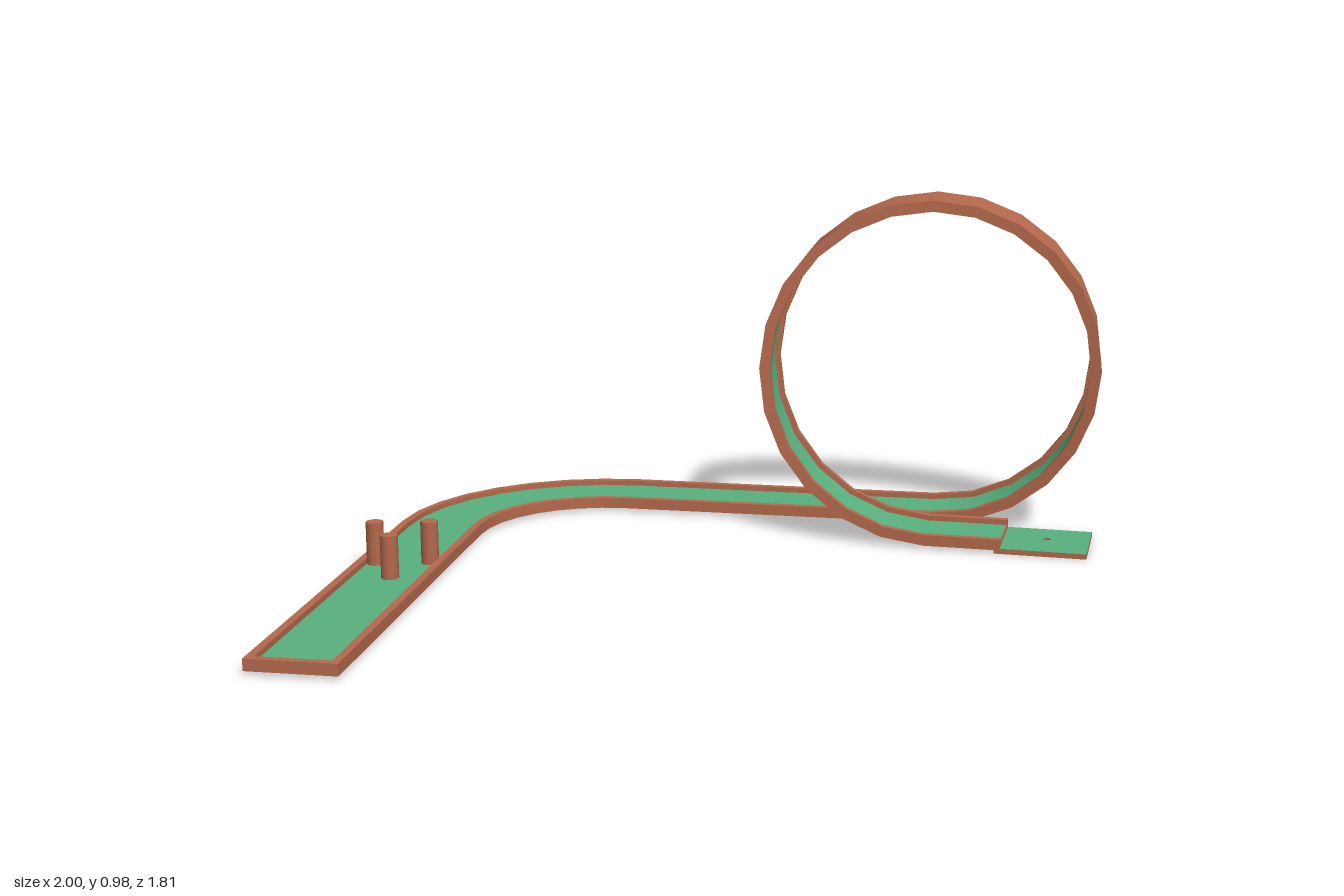
import * as THREE from 'three';
import { mergeGeometries } from 'three/addons/utils/BufferGeometryUtils.js';

const W = 0.1175, RAIL = 0.021, TALL = 0.031, FLOOR = 0.016, BASE = 0.01;

// Stations along the course: base centre, local up and local right
function courseFrames() {
  const frames = [];
  const up = new THREE.Vector3(0, 1, 0);
  const add = (x, y, z, side, u = up) =>
    frames.push({ p: new THREE.Vector3(x, y, z), up: u, side: side.clone().normalize() });
  const right = new THREE.Vector3(0, 0, 1);

  // Tee straight
  add(-0.8825, BASE, 0.9, new THREE.Vector3(1, 0, 0));
  // Quarter bend
  const R = 0.4675;
  for (let i = 0; i <= 8; i++) {
    const a = (i / 8) * Math.PI / 2;
    add(-0.415 - R * Math.cos(a), BASE, -0.32 - R * Math.sin(a),
      new THREE.Vector3(Math.cos(a), 0, Math.sin(a)));
  }
  // Loop drifting sideways, started by the back straight
  const r = 0.485;
  for (let i = 0; i <= 24; i++) {
    const a = (i / 24) * Math.PI * 2, u = i / 12 - 1;
    add(0.51 + r * Math.sin(a), 0.495 - r * Math.cos(a), -0.648 + 0.093 * u + 0.03 * u ** 3,
      right, new THREE.Vector3(-Math.sin(a), Math.cos(a), 0));
  }
  // Run out
  add(0.73, BASE, -0.511, new THREE.Vector3(-0.075, 0, 1));
  return frames;
}

// Sweeps one edge of the cross-section along the frames
function strip(frames, [s0, h0], [s1, h1]) {
  const pos = [], index = [];
  frames.forEach((f, i) => {
    for (const [s, h] of [[s0, h0], [s1, h1]]) {
      pos.push(...f.p.clone().addScaledVector(f.side, s).addScaledVector(f.up, h).toArray());
    }
    if (i) {
      const a = 2 * i - 2;
      index.push(a, a + 1, a + 3, a, a + 3, a + 2);
    }
  });
  const g = new THREE.BufferGeometry();
  g.setAttribute('position', new THREE.Float32BufferAttribute(pos, 3));
  g.setIndex(index);
  g.computeVertexNormals();
  return g;
}

export function createModel() {
  const model = new THREE.Group();
  model.name = 'miniGolfLoop';
  const brick = new THREE.MeshStandardMaterial({ color: 0xb5694c });
  brick.name = 'terracotta';
  const green = new THREE.MeshStandardMaterial({ color: 0x58b180 });
  green.name = 'turf green';

  const add = (name, geometry, material, x = 0, y = 0, z = 0, parent = model) => {
    const m = new THREE.Mesh(geometry, material);
    m.name = name;
    m.position.set(x, y, z);
    parent.add(m);
    return m;
  };

  // Channel: raised rails with the turf between them
  const frames = courseFrames();
  const I = W - RAIL;
  const profile = [[-W, 0], [-W, TALL], [-I, TALL], [-I, FLOOR],
    [I, FLOOR], [I, TALL], [W, TALL], [W, 0]];
  const edges = profile.map((p, i) => [p, profile[(i + 1) % profile.length]]);
  add('turf', strip(frames, ...edges[3]), green);
  add('trackBody', mergeGeometries(edges.filter((e, i) => i !== 3)
    .map(e => strip(frames, ...e))), brick);

  // Wall closing the tee end
  add('teeEndWall', new THREE.BoxGeometry(W * 2, TALL, RAIL), brick,
    -0.8825, BASE + TALL / 2, 0.9 - RAIL / 2 + 0.001);

  // Posts in the lane
  const post = new THREE.CylinderGeometry(0.024, 0.024, 0.122, 10);
  for (const [x, z] of [[-0.955, 0.06], [-0.875, 0.18], [-0.81, 0.03]]) {
    add('post', post, brick, x, 0.084, z);
  }

  // Run-out end faces and the putting plate share the exit direction
  const exit = new THREE.Group();
  exit.name = 'exit';
  exit.position.set(0.73, 0, -0.511);
  exit.rotation.y = -Math.atan(0.075);
  model.add(exit);
  for (const s of [-1, 1]) {
    add('railEnd', new THREE.BoxGeometry(0.004, TALL, RAIL), brick,
      0.002, BASE + TALL / 2, s * (W - RAIL / 2), exit);
  }
  add('channelEnd', new THREE.BoxGeometry(0.004, FLOOR, I * 2), brick,
    0.002, BASE + FLOOR / 2, 0, exit);
  add('plateBase', new THREE.BoxGeometry(0.26, 0.01, W * 2), brick, 0.117, 0.005, 0, exit);

  // Turf sheet with the cup hole cut through it
  const sheet = new THREE.Shape([[0.004, -W], [0.247, -W], [0.247, W], [0.004, W]]
    .map(([x, y]) => new THREE.Vector2(x, y)));
  const cup = new THREE.Path();
  cup.absarc(0.125, 0.012, 0.011, 0, Math.PI * 2, true);
  sheet.holes.push(cup);
  const sheetGeo = new THREE.ExtrudeGeometry(sheet, { depth: 0.005, bevelEnabled: false, curveSegments: 10 });
  sheetGeo.rotateX(-Math.PI / 2);
  add('plateTurf', sheetGeo, [green, brick], 0, 0.01, 0, exit);

  return model;
}
